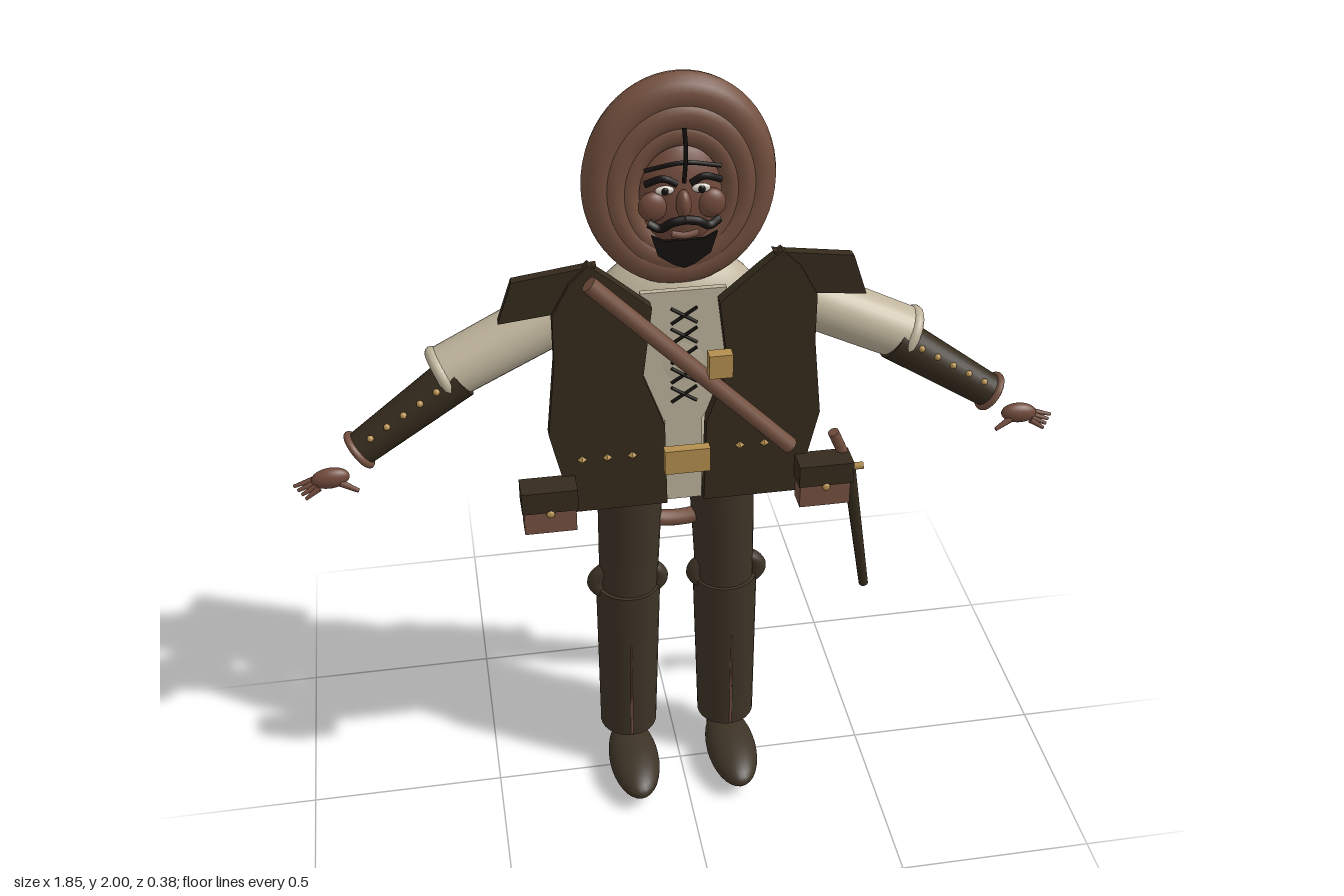
import * as THREE from 'three';

const mat = (name, color) => new THREE.MeshStandardMaterial({ name, color });
const V = (p) => new THREE.Vector3(...p);

export function createModel() {
  const leather = mat('brown leather', 0x74503f);
  const vest = mat('dark vest', 0x352b1d);
  const trousers = mat('dark trousers', 0x3d3326);
  const cream = mat('cream linen', 0xbfb49c);
  const brass = mat('brass', 0xb48f4e);
  const black = mat('black', 0x14110f);
  const skin = mat('skin', 0x70493a);
  const white = mat('eye white', 0xd8d0c4);
  const drape = mat('hood drape', 0x68453a);
  drape.side = THREE.DoubleSide;

  const model = new THREE.Group();
  const add = (name, geo, material, pos = [0, 0, 0], scale = [1, 1, 1], rot = [0, 0, 0]) => {
    const m = new THREE.Mesh(geo, material);
    m.name = name;
    m.position.set(...pos);
    m.scale.set(...scale);
    m.rotation.set(...rot);
    model.add(m);
    return m;
  };
  const ball = new THREE.SphereGeometry(1, 32, 20);
  const blob = (name, material, pos, radii, rot) => add(name, ball, material, pos, radii, rot);
  const box = (name, material, pos, size, rot) => add(name, new THREE.BoxGeometry(...size), material, pos, [1, 1, 1], rot);
  // Points an object's y axis from a to b
  const align = (m, a, b) => {
    m.quaternion.setFromUnitVectors(new THREE.Vector3(0, 1, 0), V(b).sub(V(a)).normalize());
    return m;
  };
  const limb = (name, material, a, b, ra, rb, sides = 28) => {
    const A = V(a), B = V(b);
    const geo = new THREE.CylinderGeometry(rb, ra, A.distanceTo(B), sides);
    return align(add(name, geo, material, A.add(B).multiplyScalar(0.5).toArray()), a, b);
  };
  // Ring lying across the direction from a to b
  const cuff = (name, material, a, b, r, tube) => {
    const geo = new THREE.TorusGeometry(r, tube, 10, 32).rotateX(Math.PI / 2);
    return align(add(name, geo, material, b), a, b);
  };
  // Upright ring or loop with separate width and height
  const loop = (name, material, pos, rx, ry, tube) =>
    add(name, new THREE.TorusGeometry(1, tube / rx, 14, 56), material, pos, [rx, ry, rx]);
  const plate = (name, material, pts, z, depth, s = 1) => {
    const shape = new THREE.Shape(pts.map(([x, y]) => new THREE.Vector2(x * s, y)));
    return add(name, new THREE.ExtrudeGeometry(shape, { depth, bevelEnabled: false }), material, [0, 0, z]);
  };
  const stroke = (name, material, pts, r) =>
    add(name, new THREE.TubeGeometry(new THREE.CatmullRomCurve3(pts.map(V)), 14, r, 6), material);

  // Hood: nested rings and a gabled drape behind the head
  loop('hoodOuterRing', leather, [0, 1.745, -0.017], 0.18, 0.209, 0.04);
  loop('hoodMiddleRing', leather, [0, 1.735, -0.01], 0.148, 0.172, 0.036);
  loop('hoodInnerRing', leather, [0, 1.725, -0.005], 0.118, 0.142, 0.027);
  const gable = new THREE.BufferGeometry();
  gable.setAttribute('position', new THREE.Float32BufferAttribute([
    -0.18, 1.66, -0.05, 0, 1.925, -0.06, 0.18, 1.66, -0.05,
    -0.17, 1.64, -0.135, 0, 1.88, -0.17, 0.17, 1.64, -0.135], 3));
  gable.setIndex([0, 1, 4, 0, 4, 3, 1, 2, 5, 1, 5, 4]);
  const gableFlat = gable.toNonIndexed();
  gableFlat.computeVertexNormals();
  add('hoodDrape', gableFlat, drape);

  // Head and face
  blob('head', skin, [0, 1.705, -0.05], [0.118, 0.16, 0.088]);
  limb('neck', skin, [0, 1.48, -0.065], [0, 1.64, -0.065], 0.065, 0.06);
  blob('nose', skin, [0, 1.715, 0.045], [0.017, 0.035, 0.022]);
  stroke('hairStrand', black, [[0, 1.9, 0.052], [0.003, 1.84, 0.056], [0, 1.77, 0.05]], 0.005);
  stroke('foreheadLine', black, [[-0.085, 1.795, 0.03], [0, 1.815, 0.045], [0.085, 1.795, 0.03]], 0.005);
  stroke('mouth', skin, [[-0.03, 1.654, 0.062], [0, 1.65, 0.066], [0.03, 1.654, 0.062]], 0.008);
  plate('goatee', black, [[-0.075, 1.65], [-0.045, 1.635], [0.045, 1.635], [0.075, 1.65],
    [0.06, 1.6], [0.025, 1.575], [0, 1.565], [-0.025, 1.575], [-0.06, 1.6]], 0.05, 0.009);
  for (const s of [-1, 1]) {
    blob('cheek', skin, [0.066 * s, 1.705, 0.025], [0.033, 0.035, 0.02]);
    blob('eyeWhite', white, [0.041 * s, 1.748, 0.036], [0.021, 0.011, 0.008]);
    blob('pupil', black, [0.041 * s, 1.748, 0.043], [0.008, 0.009, 0.004]);
    stroke('eyebrow', black, [[0.015 * s, 1.765, 0.045], [0.045 * s, 1.78, 0.045], [0.085 * s, 1.765, 0.035]], 0.008);
    stroke('moustache', black, [[0, 1.688, 0.066], [0.03 * s, 1.683, 0.066], [0.055 * s, 1.668, 0.06],
      [0.08 * s, 1.678, 0.05]], 0.01);
  }

  // Shirt body
  blob('torso', cream, [0, 1.31, -0.07], [0.235, 0.25, 0.118]);
  blob('hips', cream, [0, 1.04, -0.07], [0.215, 0.165, 0.108]);
  plate('shirtFront', cream, [[-0.1, 1.5], [-0.1, 1.25], [-0.045, 1.15], [-0.045, 0.92],
    [0.045, 0.92], [0.045, 1.15], [0.1, 1.25], [0.1, 1.5]], 0.03, 0.015);
  for (let i = 0; i < 5; i++) for (const s of [-1, 1]) {
    const y = 1.44 - i * 0.053;
    limb('lacing', black, [-0.03 * s, y - 0.02, 0.055], [0.03 * s, y + 0.02, 0.055], 0.004, 0.004, 6);
  }
  loop('hipLoop', leather, [0, 1.01, -0.055], 0.23, 0.222, 0.022);

  // Strap across the chest, and belt fittings
  limb('chestStrap', leather, [-0.225, 1.58, 0.125], [0.245, 1.1, 0.125], 0.02, 0.02, 10);
  box('strapBuckle', brass, [0.066, 1.363, 0.153], [0.055, 0.06, 0.03]);
  box('beltBuckle', brass, [0, 1.07, 0.095], [0.11, 0.065, 0.025]);

  for (const s of [-1, 1]) {
    // Vest panel, shoulder flap and belt studs
    plate('vestPanel', vest, [[0.22, 1.6], [0.265, 1.555], [0.305, 1.48], [0.305, 1.36], [0.325, 1.16],
      [0.275, 0.935], [0.045, 0.935], [0.05, 1.16], [0.1, 1.3], [0.078, 1.48], [0.17, 1.56]], 0.05, 0.03, s);
    const flap = plate('shoulderFlap', vest, [[0.2, 1.595], [0.39, 1.565], [0.425, 1.462], [0.29, 1.48], [0.24, 1.5]], 0.055, 0.025, s);
    flap.rotation.y = 0.04 * s;
    for (const x of [0.13, 0.19, 0.25]) {
      add('beltStud', new THREE.OctahedronGeometry(0.012), brass, [x * s, 1.088, 0.085]);
    }

    // Belt pouch
    box('pouch', leather, [0.335 * s, 0.975, 0.105], [0.125, 0.11, 0.055]);
    box('pouchFlap', vest, [0.335 * s, 1.013, 0.107], [0.134, 0.058, 0.067]);
    blob('pouchStud', brass, [0.335 * s, 0.979, 0.14], [0.01, 0.01, 0.006]);

    // Sleeve, bracer and hand
    const shoulder = [0.285 * s, 1.415, -0.05], elbow = [0.555 * s, 1.298, -0.015];
    const fore = [0.52 * s, 1.3, 0], wrist = [0.765 * s, 1.14, 0.03];
    blob('shoulderEnd', cream, shoulder, [0.04, 0.07, 0.065]);
    limb('sleeve', cream, shoulder, elbow, 0.07, 0.067);
    cuff('sleeveCuff', cream, shoulder, elbow, 0.058, 0.015);
    limb('bracer', vest, fore, wrist, 0.055, 0.042);
    cuff('wristRing', leather, fore, wrist, 0.043, 0.009);
    for (let i = 0; i < 5; i++) {
      const t = i / 4;
      blob('bracerStud', brass, [(0.575 + 0.16 * t) * s, 1.292 - 0.1 * t, 0.052 + 0.015 * t], [0.008, 0.008, 0.008]);
    }
    blob('palm', skin, [0.838 * s, 1.085, 0.055], [0.045, 0.026, 0.02], [0, 0, -0.1 * s]);
    for (let i = 0; i < 4; i++) {
      limb('finger', skin, [0.865 * s, 1.082 - i * 0.004, 0.043 + i * 0.009],
        [(0.925 - i * 0.009) * s, 1.066 - i * 0.006, 0.048 + i * 0.01], 0.008, 0.004, 8);
    }
    limb('thumb', skin, [0.815 * s, 1.075, 0.065], [0.775 * s, 1.055, 0.075], 0.009, 0.005, 8);

    // Leg, knee ring, seam and shoe
    limb('thigh', trousers, [0.128 * s, 0.56, -0.06], [0.115 * s, 0.95, -0.07], 0.075, 0.084);
    limb('shin', trousers, [0.135 * s, 0.12, -0.057], [0.128 * s, 0.595, -0.06], 0.076, 0.084);
    loop('kneeRing', trousers, [0.13 * s, 0.61, -0.05], 0.084, 0.052, 0.022);
    limb('shinSeam', leather, [0.136 * s, 0.13, 0.018], [0.134 * s, 0.44, 0.021], 0.004, 0.002, 6);
    blob('shoe', trousers, [0.135 * s, 0.056, 0.04], [0.067, 0.047, 0.15]);
    box('heel', black, [0.135 * s, 0.026, -0.09], [0.08, 0.052, 0.05]);
  }

  // Sheathed blade on the left hip
  limb('bladeGrip', leather, [0.41, 0.985, 0.075], [0.36, 1.1, 0.085], 0.014, 0.014, 10);
  limb('bladeGuard', brass, [0.375, 0.99, 0.08], [0.44, 0.997, 0.09], 0.009, 0.009, 8);
  limb('sheath', vest, [0.476, 0.59, 0.047], [0.408, 0.985, 0.075], 0.012, 0.016, 10);
  return model;
}
